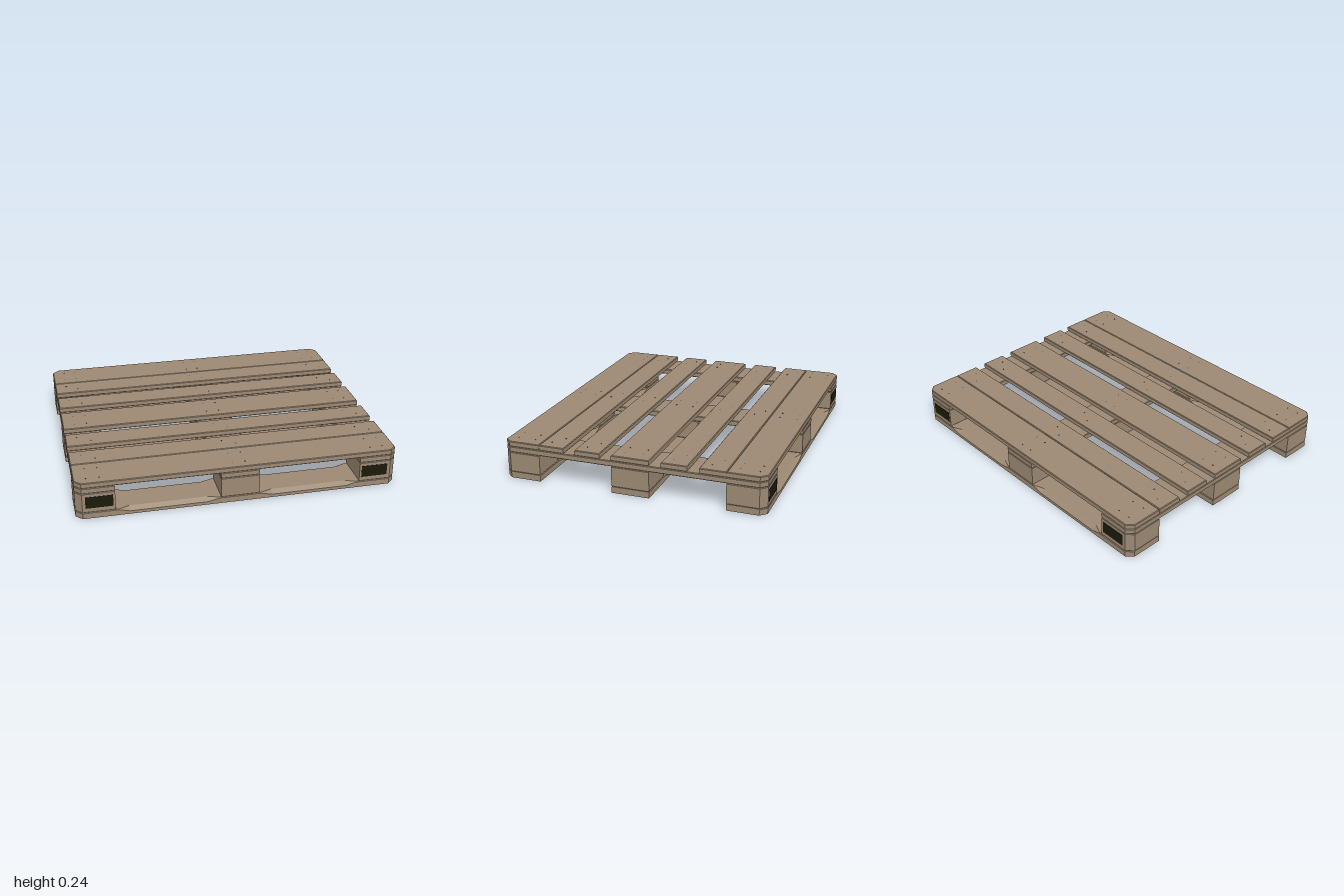
import * as THREE from 'three';

const HX = 1, HZ = 0.833, CUT = 0.04, EDGE = 0.004;
const Y = { base: 0.04, block: 0.17, stringer: 0.206, top: 0.24 };

export function createModel() {
  const pallet = new THREE.Group();
  pallet.name = 'pallet';
  const material = (name, color) => {
    const m = new THREE.MeshStandardMaterial({ color });
    m.name = name;
    return m;
  };
  const wood = material('wood', 0x9c8973);
  const dark = material('dark panel', 0x1b1a08);
  const steel = material('nail', 0x5d5041);

  const add = (name, geometry, mat) => {
    const mesh = new THREE.Mesh(geometry, mat);
    mesh.name = name;
    pallet.add(mesh);
    return mesh;
  };

  // Flat timber with eased edges; corners on the pallet's own corners are cut off
  function timber(name, x0, x1, z0, z1, y0, y1) {
    const points = [];
    for (const [x, z, alongZ] of [[x0, z1, true], [x1, z1, false], [x1, z0, true], [x0, z0, false]]) {
      if (Math.abs(x) === HX && Math.abs(z) === HZ) {
        const a = new THREE.Vector2(x, -(z - Math.sign(z) * CUT));
        const b = new THREE.Vector2(x - Math.sign(x) * CUT, -z);
        points.push(...(alongZ ? [a, b] : [b, a]));
      } else points.push(new THREE.Vector2(x, -z));
    }
    const geometry = new THREE.ExtrudeGeometry(new THREE.Shape(points), {
      depth: y1 - y0 - 2 * EDGE, bevelEnabled: true, bevelSegments: 1,
      bevelSize: EDGE, bevelThickness: EDGE, bevelOffset: -EDGE,
    });
    geometry.rotateX(-Math.PI / 2).translate(0, y0 + EDGE, 0);
    add(name, geometry, wood);
  }

  // Bottom board: cross-sections along x, upper edges bevelled between the blocks
  function bottomBoard(name, z0, z1) {
    const stations = [[-1, 0], [-0.96, 0], [-0.74, 0], [-0.68, 1], [-0.2, 1], [-0.13, 0],
      [0.13, 0], [0.2, 1], [0.68, 1], [0.74, 0], [0.96, 0], [1, 0]];
    const rings = stations.map(([x, bevel]) => {
      const inset = Math.abs(x) === HX ? CUT : 0;
      const a = z0 === -HZ ? z0 + inset : z0;
      const b = z1 === HZ ? z1 - inset : z1;
      const d = bevel ? 0.03 : EDGE, e = bevel ? 0.02 : EDGE, h = Y.base;
      return [[a, 0], [b, 0], [b, h - e], [b - d, h], [a + d, h], [a, h - e]].map(([z, y]) => [x, y, z]);
    });
    const positions = [];
    const tri = (...corners) => corners.forEach((p) => positions.push(...p));
    for (let i = 0; i < rings.length - 1; i++) {
      const a = rings[i], b = rings[i + 1];
      for (let k = 0; k < 6; k++) {
        const n = (k + 1) % 6;
        tri(a[k], b[k], a[n]);
        tri(b[k], b[n], a[n]);
      }
    }
    const first = rings[0], last = rings[rings.length - 1];
    for (let k = 1; k < 5; k++) {
      tri(first[0], first[k], first[k + 1]);
      tri(last[0], last[k + 1], last[k]);
    }
    const geometry = new THREE.BufferGeometry();
    geometry.setAttribute('position', new THREE.Float32BufferAttribute(positions, 3));
    geometry.computeVertexNormals();
    add(name, geometry, wood);
  }

  // Deck boards
  const deck = [[-HZ, -0.596], [-0.594, -0.43], [-0.358, -0.195], [-0.12, 0.12],
    [0.195, 0.358], [0.43, 0.594], [0.596, HZ]];
  for (const [z0, z1] of deck) timber('deckBoard', -HX, HX, z0, z1, Y.stringer, Y.top);

  // Stringers, blocks and bottom boards
  const columns = [[-HX, -0.762], [-0.12, 0.12], [0.762, HX]];
  const rows = [[-HZ, -0.595], [-0.12, 0.12], [0.595, HZ]];
  for (const [x0, x1] of columns) {
    timber('stringer', x0, x1, -HZ, HZ, Y.block, Y.stringer);
    for (const [z0, z1] of rows) timber('block', x0, x1, z0, z1, Y.base, Y.block);
  }
  for (const [z0, z1] of rows) bottomBoard('bottomBoard', z0, z1);

  // Dark panels on the outer faces of the corner blocks
  for (const sx of [-1, 1]) {
    for (const sz of [-1, 1]) {
      const panel = add('blockPanel', new THREE.BoxGeometry(0.166, 0.075, 0.004), dark);
      panel.position.set(sx * 0.858, 0.108, sz * HZ);
    }
  }

  // Nail heads: four on wide boards, a diagonal pair on narrow ones
  const head = new THREE.CylinderGeometry(0.005, 0.005, 0.002, 8);
  const nail = (x, y, z) => add('nail', head, steel).position.set(x, y, z);
  for (const cx of [-0.885, 0, 0.885]) {
    for (const [z0, z1] of deck) {
      const cz = (z0 + z1) / 2, wide = z1 - z0 > 0.2;
      for (const s of [-1, 1]) {
        if (wide) for (const t of [-1, 1]) nail(cx + s * 0.04, Y.top, cz + t * 0.058);
        else nail(cx + s * 0.04, Y.top, cz + s * 0.027);
      }
    }
    for (const [z0, z1] of rows) {
      for (const s of [-1, 1]) nail(cx + s * 0.04, 0.0005, (z0 + z1) / 2 + s * 0.058);
    }
  }
  return pallet;
}
